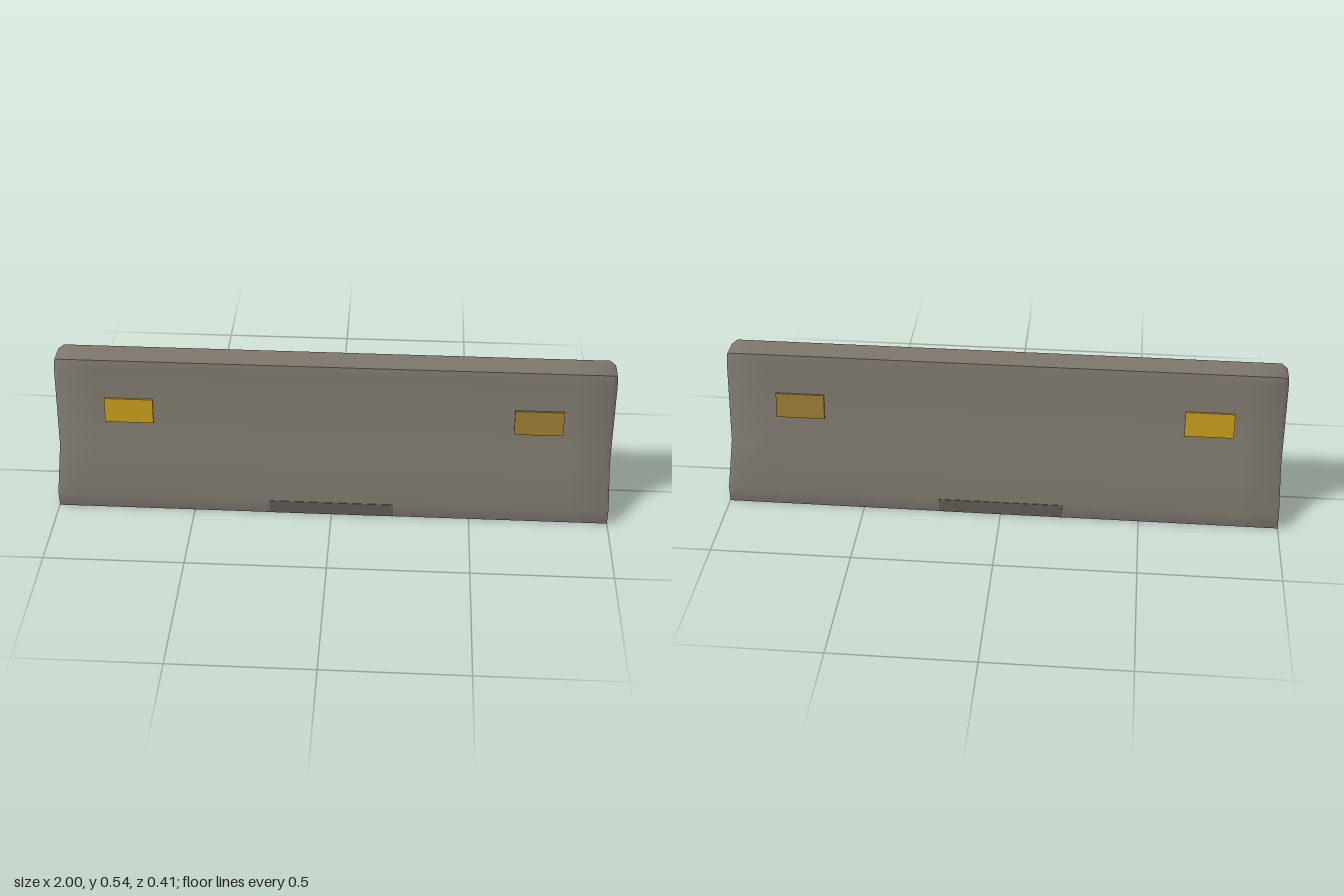
import * as THREE from 'three';
import { toCreasedNormals } from 'three/addons/utils/BufferGeometryUtils.js';

const mat = (name, color) => Object.assign(new THREE.MeshStandardMaterial({ color }), { name });

// Half profiles as [z, y], from the base up: full section and the narrower end section
const FULL = [[0.2, 0], [0.203, 0.06], [0.111, 0.2], [0.061, 0.51], [0.049, 0.541]];
const END = [[0.2, 0], [0.199, 0.06], [0.098, 0.2], [0.051, 0.5], [0.039, 0.528]];

// Loft the section along x, with bevelled ends and flat caps
function barrierGeometry() {
  const stations = [-1, -0.98, -0.86, 0.86, 0.98, 1];
  const n = FULL.length * 2;
  const positions = [];
  const index = [];
  const quad = (a, b, c, d) => index.push(a, b, c, a, c, d);

  for (const x of stations) {
    const half = Math.abs(x) === 1 ? END : FULL;
    for (const [z, y] of half) positions.push(x, y, z);
    for (const [z, y] of [...half].reverse()) positions.push(x, y, -z);
  }
  for (let i = 0; i < stations.length - 1; i++) {
    for (let j = 0; j < n; j++) {
      const k = (j + 1) % n;
      quad(i * n + j, (i + 1) * n + j, (i + 1) * n + k, i * n + k);
    }
  }
  const last = (stations.length - 1) * n;
  for (let j = 0; j < n / 2 - 1; j++) {
    quad(last + j, last + n - 1 - j, last + n - 2 - j, last + j + 1);
    quad(j, j + 1, n - 2 - j, n - 1 - j);
  }

  const geometry = new THREE.BufferGeometry();
  geometry.setAttribute('position', new THREE.Float32BufferAttribute(positions, 3));
  geometry.setIndex(index);
  return toCreasedNormals(geometry, 0.7);
}

// Thin plate lying on the sloped face between two [z, y] points; side is 1 for front, -1 for back
function facePlate(name, material, x, width, low, high, depth, side) {
  const dz = high[0] - low[0];
  const dy = high[1] - low[1];
  const plate = new THREE.Mesh(new THREE.BoxGeometry(width, Math.hypot(dz, dy), depth), material);
  plate.position.set(x, (low[1] + high[1]) / 2, side * (low[0] + high[0]) / 2);
  plate.rotation.x = side * Math.atan2(dz, dy);
  plate.name = name;
  return plate;
}

export function createModel() {
  const concrete = mat('concrete', 0x7c766c);
  const damp = mat('dark concrete', 0x6a655c);
  const amber = mat('amber reflector', 0xcc9f1e);
  const worn = mat('worn reflector', 0x9f8034);

  const model = new THREE.Group();
  model.name = 'roadBarrier';

  const body = new THREE.Mesh(barrierGeometry(), concrete);
  body.name = 'barrierBody';
  model.add(body);

  // Reflectors and drainage slot on both long faces
  for (const side of [1, -1]) {
    const label = side > 0 ? 'front' : 'back';
    const low = [0.096, 0.311];
    const high = [0.082, 0.402];
    model.add(
      facePlate(label + 'RightReflector', amber, -0.735, 0.175, low, high, 0.009, side),
      facePlate(label + 'LeftReflector', worn, 0.735, 0.175, low, high, 0.009, side),
      facePlate(label + 'DrainSlot', damp, 0, 0.45, [0.2, 0.001], [0.2025, 0.055], 0.004, side),
    );
  }
  return model;
}
